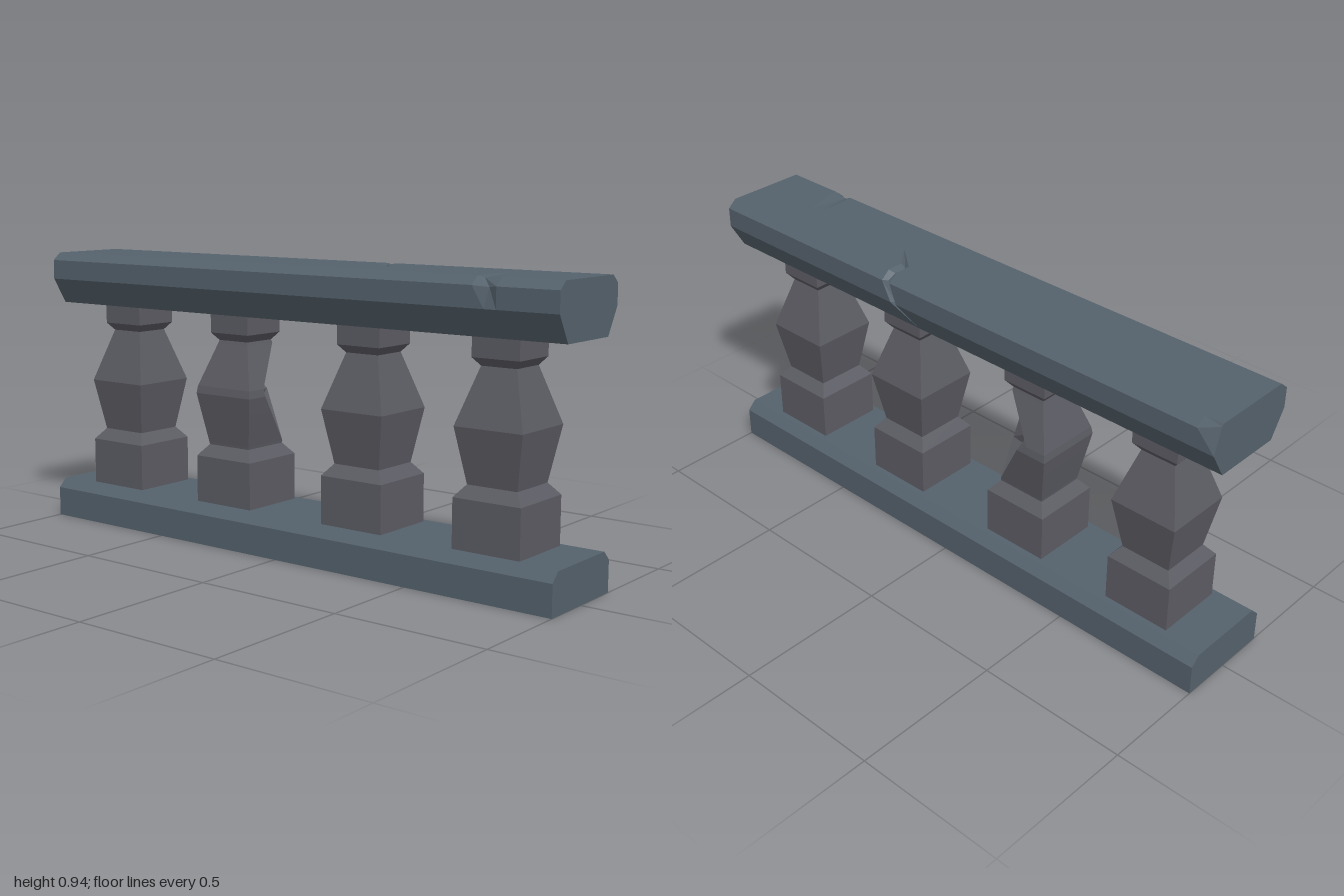
import * as THREE from 'three';

const railMat = new THREE.MeshStandardMaterial({ color: 0x55626c, flatShading: true });
const balusterMat = new THREE.MeshStandardMaterial({ color: 0x5c5c64, flatShading: true });

// Skins a list of equal-length rings with flat faces and closes both ends
function loft(rings) {
  const pos = [];
  const tri = (a, b, c) => {
    if (new THREE.Triangle(a, b, c).getArea() > 1e-7) {
      for (const p of [a, b, c]) pos.push(p.x, p.y, p.z);
    }
  };
  const n = rings[0].length;
  for (let i = 0; i < rings.length - 1; i++) {
    const lo = rings[i], hi = rings[i + 1];
    for (let j = 0; j < n; j++) {
      const k = (j + 1) % n;
      tri(lo[j], lo[k], hi[k]);
      tri(lo[j], hi[k], hi[j]);
    }
  }
  const first = rings[0], last = rings[rings.length - 1];
  for (let j = 1; j < n - 1; j++) {
    tri(first[0], first[j + 1], first[j]);
    tri(last[0], last[j], last[j + 1]);
  }
  const geo = new THREE.BufferGeometry();
  geo.setAttribute('position', new THREE.Float32BufferAttribute(pos, 3));
  geo.computeVertexNormals();
  return geo;
}

function addMesh(parent, name, geo, mat) {
  const mesh = new THREE.Mesh(geo, mat);
  mesh.name = name;
  parent.add(mesh);
  return mesh;
}

// Base rail: a slab with chamfered upper edges
function baseRailGeometry() {
  const profile = [[-0.165, 0], [0.165, 0], [0.165, 0.1], [0.135, 0.13], [-0.135, 0.13], [-0.165, 0.1]];
  return loft([-1, 1].map(z => profile.map(([x, y]) => new THREE.Vector3(x, y, z))));
}

// Hand rail: chamfered section with a slanting crack, a broken corner and an edge chip
function handRailGeometry() {
  const profile = [
    [0.115, 0.76], [0.165, 0.845], [0.165, 0.91], [0.135, 0.935], [0.08, 0.935],
    [0.005, 0.935], [-0.135, 0.935], [-0.165, 0.91], [-0.165, 0.845], [-0.115, 0.76],
  ];
  const ring = z => profile.map(([x, y]) => new THREE.Vector3(x, y, z));

  // Crack position, half width and depth for each profile corner
  const crackZ = [0.15, 0.21, 0.24, 0.24, 0.24, 0.32, 0.3, 0.28, 0.25, 0.2];
  const crackW = [0, 0.012, 0.016, 0.016, 0.016, 0, 0, 0, 0, 0];
  const crackRing = side => profile.map(([x, y], j) => {
    const depth = side === 0 && crackW[j] > 0 ? 0.012 : 0;
    const inX = j < 4 ? depth : 0, inY = j > 2 ? depth : 0;
    return new THREE.Vector3(x - inX, y - inY, crackZ[j] + side * crackW[j]);
  });

  const brokenEnd = ring(-1);
  brokenEnd[2].set(0.14, 0.928, -1);
  const chip = ring(0.76);
  chip[6].set(-0.128, 0.93, 0.74);
  chip[7].set(-0.152, 0.906, 0.77);

  return loft([brokenEnd, ring(-0.94), crackRing(-1), crackRing(0), crackRing(1),
    ring(0.72), chip, ring(0.8), ring(1)]);
}

// Square baluster; rows are [y, half width, cut along x, cut along z, cut depth]
function balusterGeometry(rows) {
  return loft(rows.map(([y, h, cx = 0, cz = 0, d = 0]) => [
    [h - cx, h], [h - d, h - d], [h, h - cz], [h, -h], [-h, -h], [-h, h],
  ].map(([x, z]) => new THREE.Vector3(x, y, z))));
}

export function createModel() {
  const group = new THREE.Group();
  group.name = 'balustrade';
  addMesh(group, 'baseRail', baseRailGeometry(), railMat);
  addMesh(group, 'handRail', handRailGeometry(), railMat);

  const foot = [[0.13, 0.115], [0.285, 0.115], [0.322, 0.085]];
  const belly = [[0.495, 0.115]];
  const neck = [[0.67, 0.06], [0.695, 0.08], [0.76, 0.08]];
  // Broken-away corner of the damaged baluster
  const brokenBelly = [
    [0.33, 0.086], [0.44, 0.1055, 0.1, 0.08, 0.085], [0.495, 0.115, 0.15, 0.12, 0.09],
    [0.52, 0.111, 0.15, 0.15, 0.1], [0.66, 0.063],
  ];
  const whole = balusterGeometry([...foot, ...belly, ...neck]);
  const broken = balusterGeometry([...foot, ...brokenBelly, ...neck]);

  [0.75, 0.263, -0.26, -0.75].forEach((z, i) => {
    const damaged = i === 2;
    addMesh(group, damaged ? 'damagedBaluster' : 'baluster', damaged ? broken : whole, balusterMat).position.z = z;
  });
  return group;
}
